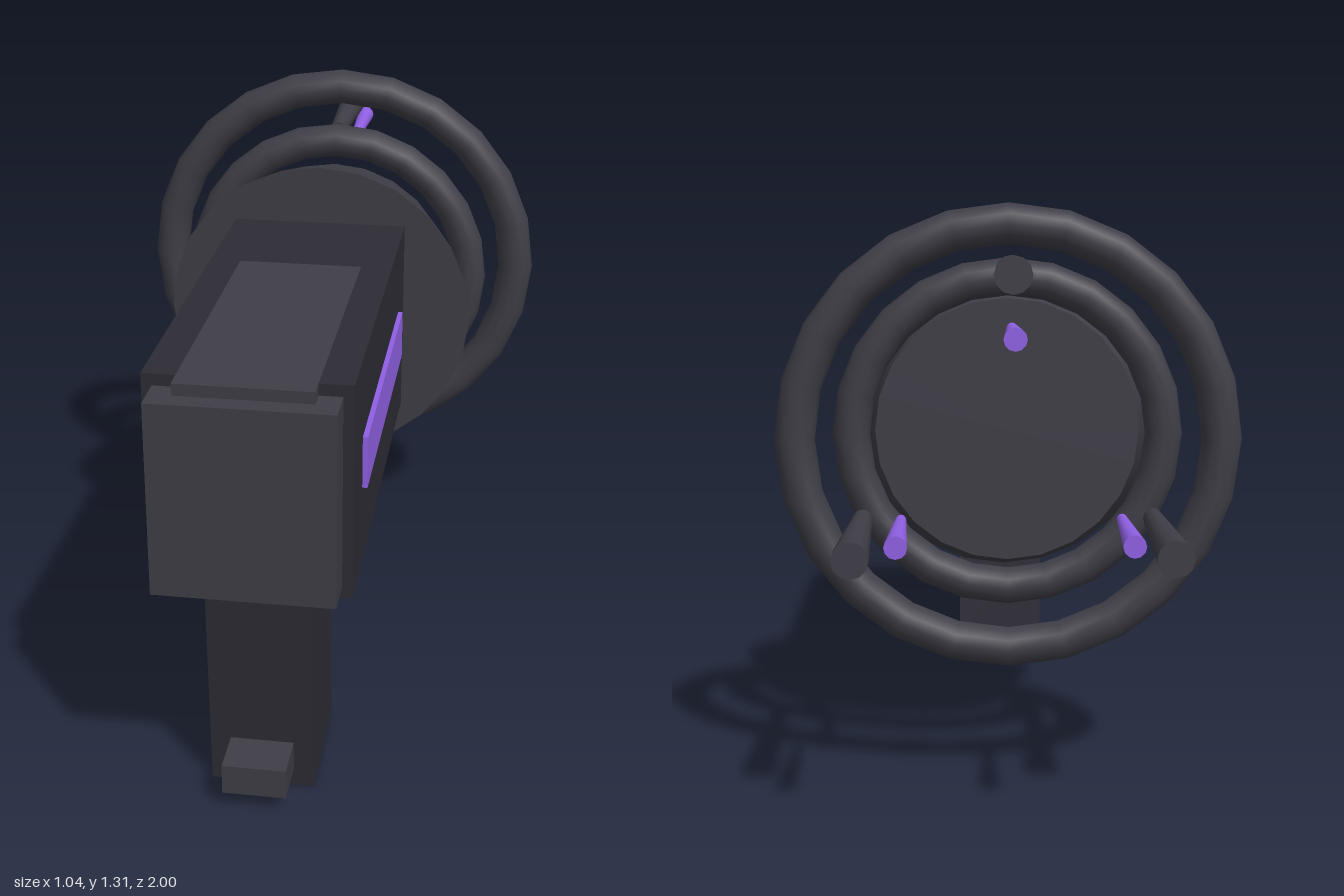
import * as THREE from 'three';

const AXIS_Y = 0.79; // height of the barrel's centre line

const material = (color) => new THREE.MeshStandardMaterial({ color });

export function createModel() {
  const model = new THREE.Group();
  const dark = material(0x2d2b35);
  const grey = material(0x3f3d46);
  const purple = material(0x9060e4);

  const add = (name, geometry, mat, x, y, z) => {
    const mesh = new THREE.Mesh(geometry, mat);
    mesh.name = name;
    mesh.position.set(x, y, z);
    model.add(mesh);
    return mesh;
  };

  // Box given by its limits on each axis
  const box = (name, mat, [x0, x1], [y0, y1], [z0, z1]) =>
    add(name, new THREE.BoxGeometry(x1 - x0, y1 - y0, z1 - z0), mat,
      (x0 + x1) / 2, (y0 + y1) / 2, (z0 + z1) / 2);

  // Tapered round part running along z, from zNear back to zFar
  const taper = (name, mat, x, y, zNear, zFar, rNear, rFar, sides) =>
    add(name, new THREE.CylinderGeometry(rFar, rNear, zNear - zFar, sides).rotateX(-Math.PI / 2),
      mat, x, y, (zNear + zFar) / 2);

  // Body, end cap and top plate
  box('body', dark, [-0.21, 0.21], [0.555, 1.025], [-0.06, 0.915]);
  box('endCap', grey, [-0.188, 0.188], [0.58, 1.0], [0.88, 1.0]);
  box('topPlate', grey, [-0.14, 0.14], [0.98, 1.0255], [0.25, 0.957]);

  // Glowing strips on both sides
  for (const side of [-1, 1]) {
    const strip = box('sideStrip', purple, [-0.01, 0.01], [0.735, 0.85], [0.07, 0.775]);
    strip.position.x = side * 0.211;
  }

  // Slightly raked grip with a nub at its foot
  const grip = add('grip', new THREE.BoxGeometry(0.23, 0.57, 0.28), dark, 0, 0.292, 0.682);
  grip.rotation.x = 0.05;
  box('gripNub', grey, [-0.07, 0.07], [0.045, 0.115], [0.76, 0.917]);

  // Tapered collar and the two rings beyond it
  taper('collar', grey, 0, AXIS_Y, -0.055, -0.335, 0.375, 0.304, 24);
  add('innerRing', new THREE.TorusGeometry(0.355, 0.0425, 12, 24), grey, 0, AXIS_Y, -0.382);
  add('outerRing', new THREE.TorusGeometry(0.474, 0.045, 12, 24), grey, 0, AXIS_Y, -0.478);

  // Three prongs, each with a glowing emitter nearer the axis
  for (let i = 0; i < 3; i++) {
    const a = Math.PI / 2 + (i * Math.PI * 2) / 3;
    const c = Math.cos(a), s = Math.sin(a);
    taper('prong', grey, c * 0.38, AXIS_Y + s * 0.38, -0.39, -0.857, 0.021, 0.039, 12);
    taper('emitter', purple, c * 0.266, AXIS_Y + s * 0.266, -0.72, -1.0, 0.011, 0.023, 12);
  }

  return model;
}
